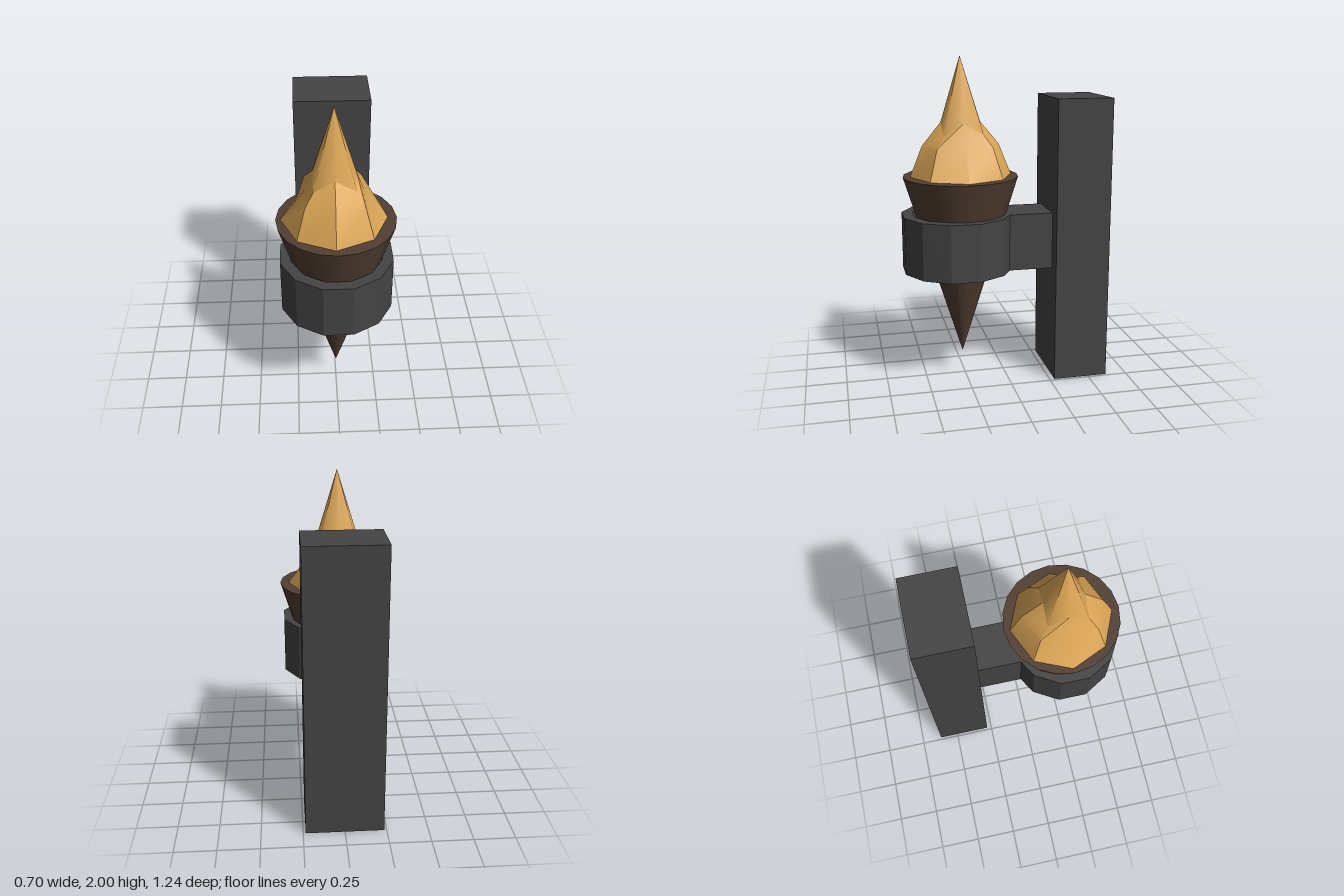
import * as THREE from 'three';
import { toCreasedNormals } from 'three/addons/utils/BufferGeometryUtils.js';

const iron = new THREE.MeshStandardMaterial({ color: 0x444444, flatShading: true });
const wood = new THREE.MeshStandardMaterial({ color: 0x523f32 });
const fire = new THREE.MeshStandardMaterial({ color: 0xdca656 });

// Surface through eight-point rings. Each ring gives the points on the
// x axis, on the z axis and on the diagonals as [distance, height].
function ringSurface(rings) {
  const positions = [], index = [];
  for (const { x, z, corner } of rings) {
    for (let i = 0; i < 8; i++) {
      const a = i * Math.PI / 4;
      const [r, y] = i % 2 ? corner : i % 4 ? z : x;
      positions.push(r * Math.cos(a), y, r * Math.sin(a));
    }
  }
  for (let j = 0; j < rings.length - 1; j++) {
    for (let i = 0; i < 8; i++) {
      const a = j * 8 + i, b = j * 8 + (i + 1) % 8;
      index.push(a, a + 8, b, b, a + 8, b + 8);
    }
  }
  const g = new THREE.BufferGeometry();
  g.setAttribute('position', new THREE.Float32BufferAttribute(positions, 3));
  g.setIndex(index);
  g.computeVertexNormals();
  return g;
}

export function createModel() {
  const group = new THREE.Group();
  const add = (name, geometry, material, x, y, z) => {
    const mesh = new THREE.Mesh(geometry, material);
    mesh.name = name;
    mesh.position.set(x, y, z);
    group.add(mesh);
  };

  // Wall plate and the arm reaching forward from it
  add('wallPlate', new THREE.BoxGeometry(0.47, 1.755, 0.34), iron, 0, 0.8775, -0.45);
  add('arm', new THREE.BoxGeometry(0.28, 0.35, 0.28), iron, 0, 0.88, -0.14);

  // Twelve-sided holding ring with a flat side to the front
  const outer = 0.342, inner = 0.275;
  const section = [[outer, 0.705], [outer, 1.055], [inner, 1.055], [inner, 0.705], [outer, 0.705]]
    .map(([r, y]) => new THREE.Vector2(r, y));
  add('ring', new THREE.LatheGeometry(section, 12, Math.PI / 12), iron, 0, 0, 0.29);

  // Conical torch body, point down
  add('torchBody', new THREE.CylinderGeometry(0.35, 0, 1.135, 20), wood, 0, 0.7175, 0.265);

  // Flame: faceted base narrowing to a squarish neck, then a smooth spike
  const base = { x: [0.31, 1.285], z: [0.31, 1.285], corner: [0.305, 1.285] };
  const middle = { x: [0.17, 1.475], z: [0.235, 1.47], corner: [0.235, 1.47] };
  const neck = { x: [0.12, 1.61], z: [0.12, 1.61], corner: [0.17, 1.54] };
  const tip = { x: [0, 2], z: [0, 2], corner: [0, 2] };
  add('flameBase', toCreasedNormals(ringSurface([base, middle, neck]), 0.55), fire, -0.012, 0, 0.26);
  add('flameSpike', ringSurface([neck, tip]), fire, -0.012, 0, 0.26);

  return group;
}
